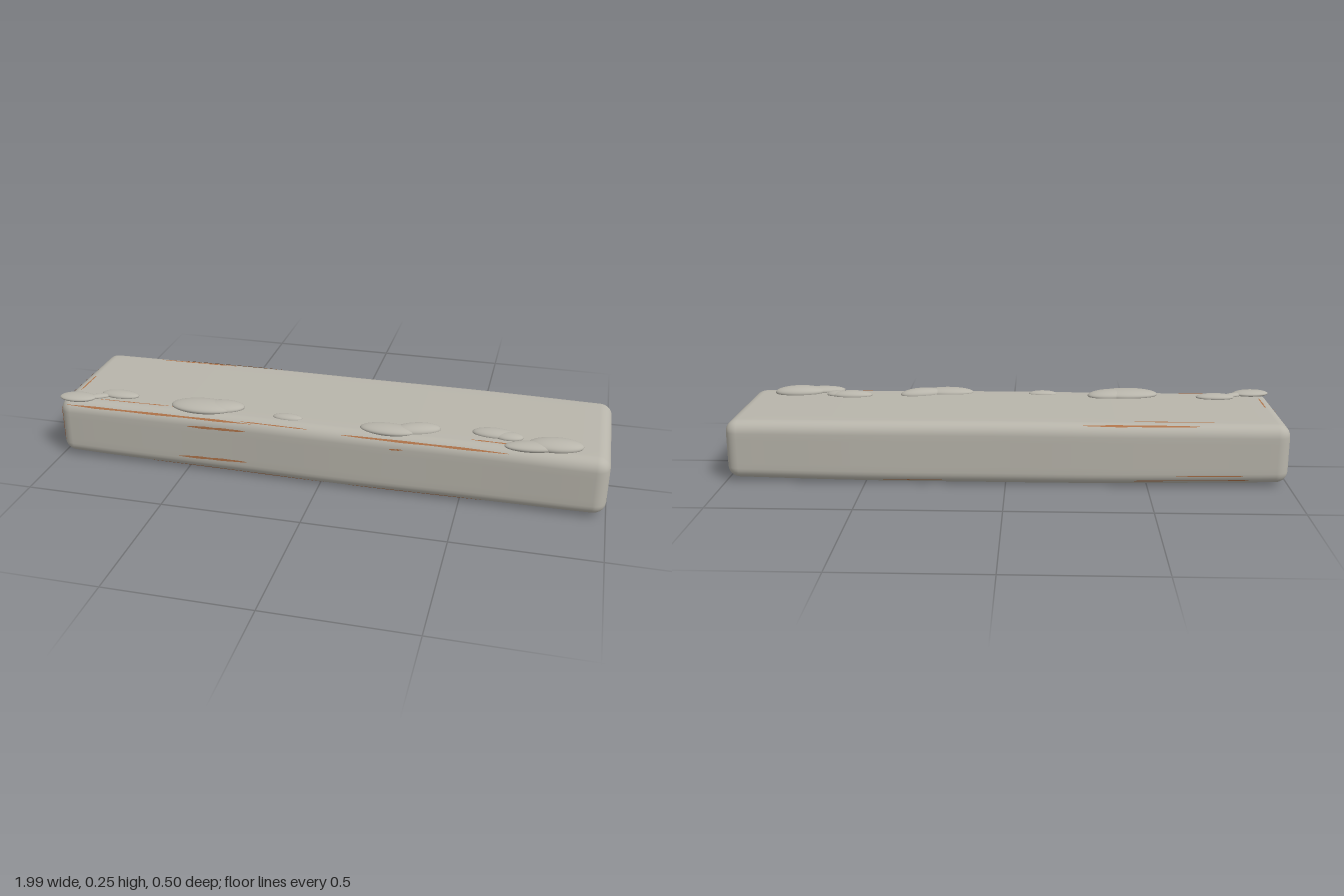
import * as THREE from 'three';
import { mergeVertices } from 'three/addons/utils/BufferGeometryUtils.js';

const HALF = new THREE.Vector3(0.997, 0.113, 0.248);
const RADIUS = 0.045;
const INNER = HALF.clone().subScalar(RADIUS);

// Moves a point onto the rounded, slightly uneven slab surface
function onSlab(p, lift = 0) {
  const core = p.clone().clamp(INNER.clone().negate(), INNER);
  const q = p.clone().sub(core).normalize().multiplyScalar(RADIUS + lift).add(core);
  const x = q.x;
  const wave = 0.002 * Math.sin(x * 7 + 1);
  q.z += q.z > 0 ? (-0.006 * (1 - x) * 0.5 + wave) * (q.z / HALF.z)
    : (0.006 * x * x + wave) * (-q.z / HALF.z);
  q.y += q.y < 0 ? 0.01 * x * x * (-q.y / HALF.y) : -0.004 * x * x * (q.y / HALF.y);
  q.y += 0.114;
  return q;
}

// Spreads uniform grid lines so that a few of them fall in the rounded rim
function spread(v, half, n, k = 4) {
  const i = Math.round((v / half + 1) * n / 2);
  const inner = half - RADIUS;
  if (i <= k) return -half + RADIUS * i / k;
  if (i >= n - k) return half - RADIUS * (n - i) / k;
  return -inner + 2 * inner * (i - k) / (n - 2 * k);
}

function slabGeometry() {
  const n = [40, 14, 18];
  let geo = new THREE.BoxGeometry(HALF.x * 2, HALF.y * 2, HALF.z * 2, ...n);
  const pos = geo.attributes.position;
  const p = new THREE.Vector3();
  for (let i = 0; i < pos.count; i++) {
    p.fromBufferAttribute(pos, i);
    p.set(spread(p.x, HALF.x, n[0]), spread(p.y, HALF.y, n[1]), spread(p.z, HALF.z, n[2]));
    const q = onSlab(p);
    pos.setXYZ(i, q.x, q.y, q.z);
  }
  geo.deleteAttribute('normal');
  geo.deleteAttribute('uv');
  geo = mergeVertices(geo, 1e-5);
  geo.computeVertexNormals();
  return geo;
}

// Thin tapered streak lying on the slab from a to b; side is its half width
function streakGeometry(a, b, side) {
  const steps = 24;
  const points = [];
  const index = [];
  const from = new THREE.Vector3(...a), to = new THREE.Vector3(...b), w = new THREE.Vector3(...side);
  for (let i = 0; i <= steps; i++) {
    const t = i / steps;
    const taper = Math.min(1, 0.15 + 5 * t, 0.15 + 5 * (1 - t)) * (0.85 + 0.15 * Math.sin(t * 19 + a[0] * 8));
    for (let j = -1; j <= 1; j++) {
      const p = from.clone().lerp(to, t).addScaledVector(w, j * taper);
      points.push(...onSlab(p, 0.002).toArray());
    }
    if (i < steps) {
      for (let j = 0; j < 2; j++) {
        const k = i * 3 + j;
        index.push(k, k + 1, k + 3, k + 1, k + 4, k + 3);
      }
    }
  }
  const geo = new THREE.BufferGeometry();
  geo.setAttribute('position', new THREE.Float32BufferAttribute(points, 3));
  geo.setIndex(index);
  geo.computeVertexNormals();
  return geo;
}

export function createModel() {
  const model = new THREE.Group();
  const stone = new THREE.MeshStandardMaterial({ color: 0xb8b5ab });
  stone.name = 'stone';
  const rust = new THREE.MeshStandardMaterial({ color: 0xb0744a, side: THREE.DoubleSide });
  rust.name = 'rust';

  const slab = new THREE.Mesh(slabGeometry(), stone);
  slab.name = 'slab';
  model.add(slab);

  // Flat lumps along the front of the top: x, y, z, half sizes, turn
  const lumps = [
    [-0.93, 0.229, 0.203, 0.068, 0.013, 0.036, 0.1],
    [-0.86, 0.227, 0.178, 0.05, 0.009, 0.016, 0.5],
    [-0.785, 0.228, 0.145, 0.072, 0.014, 0.03, 0],
    [-0.45, 0.23, 0.17, 0.12, 0.021, 0.054, 0.05],
    [-0.39, 0.23, 0.16, 0.09, 0.02, 0.046, 0.2],
    [-0.13, 0.227, 0.18, 0.054, 0.012, 0.022, 0],
    [0.235, 0.228, 0.19, 0.098, 0.018, 0.039, 0],
    [0.335, 0.228, 0.165, 0.083, 0.021, 0.036, 0.3],
    [0.6, 0.228, 0.134, 0.077, 0.017, 0.032, 0],
    [0.65, 0.228, 0.145, 0.05, 0.014, 0.028, 0],
    [0.735, 0.228, 0.2, 0.095, 0.016, 0.033, 0.15],
    [0.81, 0.229, 0.175, 0.095, 0.023, 0.045, 0.1],
  ];
  const ball = new THREE.SphereGeometry(1, 32, 18);
  const deposits = new THREE.Group();
  deposits.name = 'lumps';
  for (const [x, y, z, rx, ry, rz, turn] of lumps) {
    const lump = new THREE.Mesh(ball, stone);
    lump.name = 'lump';
    lump.position.set(x, y, z);
    lump.scale.set(rx, ry, rz);
    lump.rotation.y = turn;
    deposits.add(lump);
  }
  model.add(deposits);

  // Worn streaks in slab coordinates: start, end, half width
  const T = HALF.y, F = HALF.z, L = -HALF.x;
  const streaks = [
    // front face
    [[-0.49, 0.066, F], [-0.27, 0.07, F], [0, 0.005, 0]],
    [[-0.53, -0.061, F], [-0.27, -0.054, F], [0, 0.005, 0]],
    [[0.25, 0.067, F], [0.3, 0.07, F], [0, 0.003, 0]],
    // front upper edge
    [[-0.97, 0.1, F - 0.005], [-0.25, 0.1, F - 0.005], [0, 0.006, 0]],
    [[-0.3, 0.104, F - 0.01], [-0.04, 0.104, F - 0.01], [0, 0.003, 0]],
    [[0.08, 0.1, F - 0.005], [0.66, 0.1, F - 0.005], [0, 0.006, 0]],
    // front lower edge
    [[-0.65, -0.102, F - 0.01], [0.02, -0.102, F - 0.01], [0, 0.005, 0]],
    [[0.1, -0.1, F - 0.01], [0.58, -0.1, F - 0.01], [0, 0.004, 0]],
    // left front corner and end
    [[L + 0.012, -0.06, F - 0.012], [L + 0.012, 0.09, F - 0.012], [0.005, 0, 0]],
    [[L + 0.008, 0.1, -0.1], [L + 0.008, 0.1, 0.2], [0, 0.004, 0]],
    // top
    [[-0.68, T, -0.236], [-0.27, T, -0.236], [0, 0, 0.007]],
    [[-0.76, T, -0.203], [-0.45, T, -0.203], [0, 0, 0.004]],
    [[-0.95, T, 0], [-0.95, T, 0.14], [0.003, 0, 0]],
    [[-0.85, T, 0.2], [-0.56, T, 0.198], [0, 0, 0.003]],
    [[0.52, T, 0.2], [0.75, T, 0.2], [0, 0, 0.004]],
    // back lower edge
    [[-0.9, -0.095, -F + 0.004], [-0.4, -0.095, -F + 0.004], [0, 0.003, 0]],
    [[-0.85, -0.075, -F], [-0.6, -0.075, -F], [0, 0.002, 0]],
    [[0.2, -0.1, -F + 0.006], [0.45, -0.1, -F + 0.006], [0, 0.003, 0]],
  ];
  const marks = new THREE.Group();
  marks.name = 'streaks';
  for (const s of streaks) {
    const streak = new THREE.Mesh(streakGeometry(...s), rust);
    streak.name = 'streak';
    marks.add(streak);
  }
  model.add(marks);
  return model;
}
